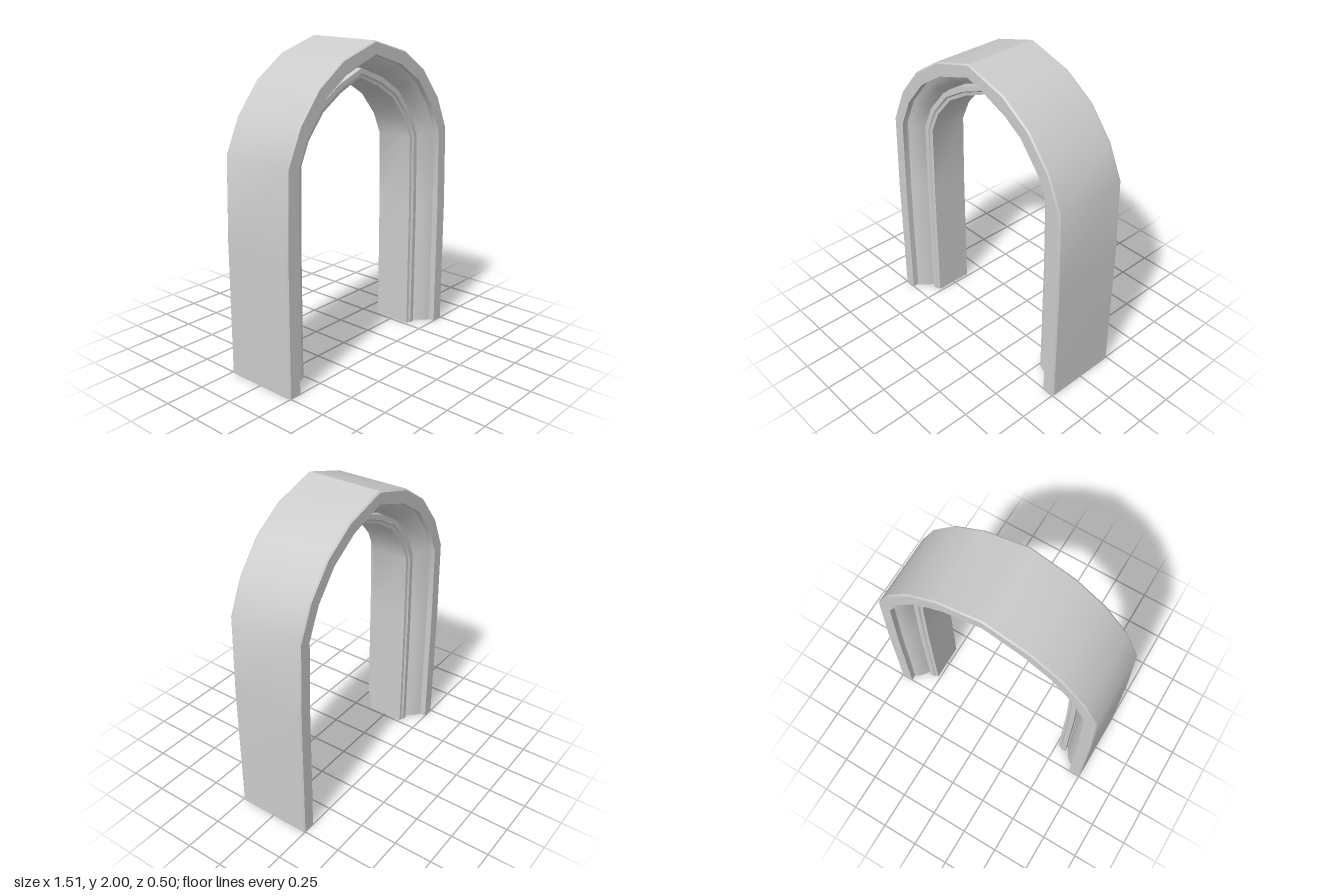
import * as THREE from 'three';
import { toCreasedNormals } from 'three/addons/utils/BufferGeometryUtils.js';

// Outer and inner edge of half the pointed arch, from the foot to the apex
const OUTER = [[0.755, 0], [0.755, 0.85], [0.738, 1.375], [0.64, 1.59], [0.485, 1.78], [0.285, 1.915], [0, 2]];
const INNER = [[0.517, 0], [0.517, 0.85], [0.508, 1.325], [0.445, 1.465], [0.322, 1.61], [0.175, 1.7], [0, 1.775]];

// Half moulding section: depth from the outer edge, and z
const DEPTH = 0.24;
const SECTION = [
  [0, 0.24], [0.008, 0.25], [0.085, 0.25],                                   // outer band
  [0.085, 0.21], [0.11, 0.195], [0.14, 0.165], [0.165, 0.125], [0.175, 0.1], // rounded roll
  [0.18, 0.1], [0.18, 0.14], [0.212, 0.14], [0.22, 0.13], [0.24, 0.127],     // inner rib
];

// Mirror a half path across x = 0, keeping the apex once
const mirrorPath = (half) => [...half, ...half.slice(0, -1).reverse().map(([x, y]) => [-x, y])];

// Sweep the closed section along the arch, between the two edges
function sweepArch() {
  const outer = mirrorPath(OUTER), inner = mirrorPath(INNER);
  const section = [...SECTION, ...SECTION.slice().reverse().map(([d, z]) => [d, -z])];
  const count = section.length;
  const positions = [], indices = [];
  outer.forEach(([ox, oy], i) => {
    const [ix, iy] = inner[i];
    for (const [d, z] of section) {
      const t = d / DEPTH;
      positions.push(ox + (ix - ox) * t, oy + (iy - oy) * t, z);
    }
  });
  for (let i = 0; i < outer.length - 1; i++) {
    for (let j = 0; j < count; j++) {
      const k = (j + 1) % count;
      const a = i * count + j, b = a + count, c = i * count + k, d = c + count;
      indices.push(a, b, c, b, d, c);
    }
  }
  const geometry = new THREE.BufferGeometry();
  geometry.setAttribute('position', new THREE.Float32BufferAttribute(positions, 3));
  geometry.setIndex(indices);
  return toCreasedNormals(geometry, 0.5);
}

export function createModel() {
  const group = new THREE.Group();
  group.name = 'pointedArch';
  // Hollow moulding, open at the feet
  const material = new THREE.MeshStandardMaterial({ color: 0xcccccc, side: THREE.DoubleSide });
  const arch = new THREE.Mesh(sweepArch(), material);
  arch.name = 'archMoulding';
  group.add(arch);
  return group;
}
